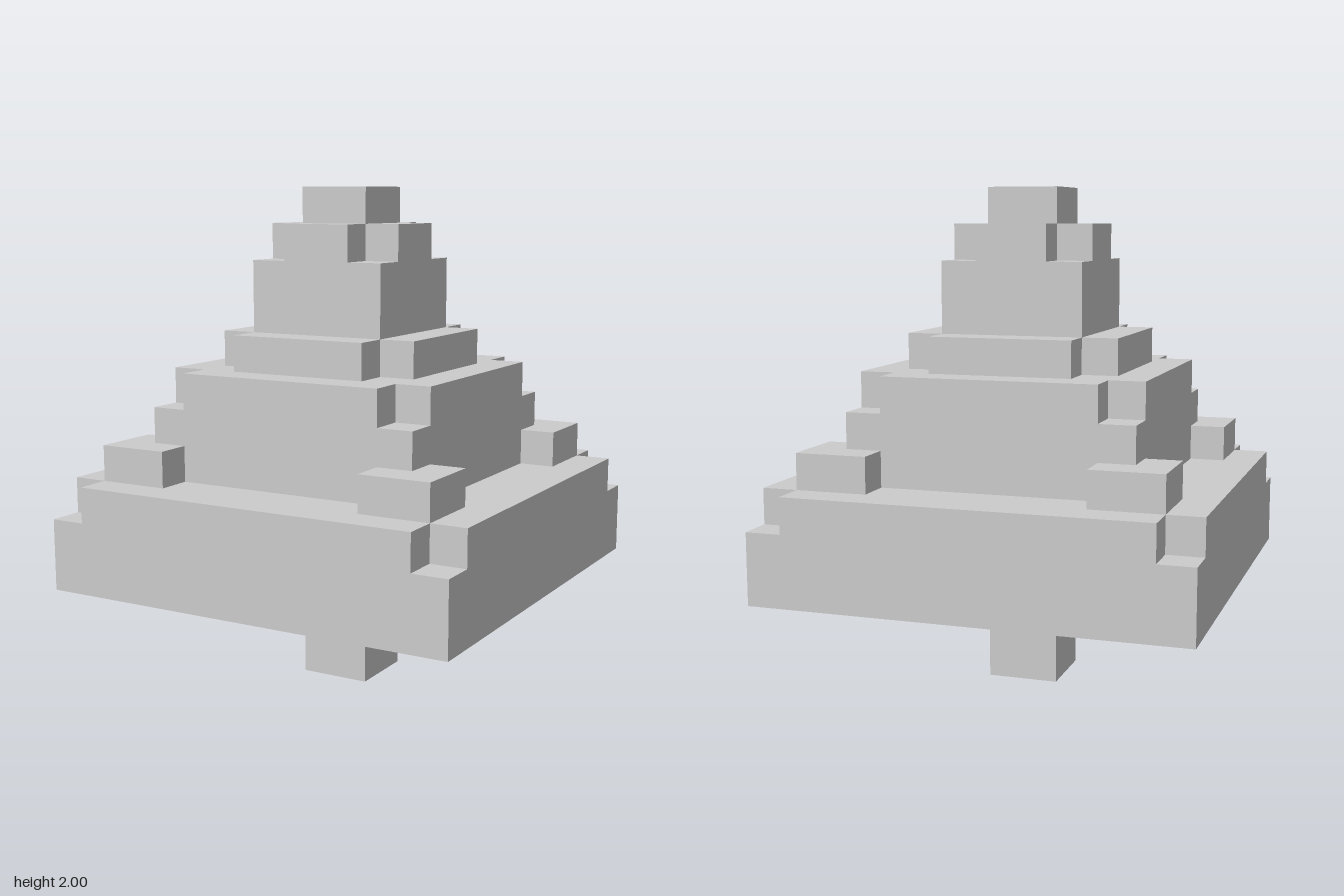
import * as THREE from 'three';

const U = 1 / 7; // one block
const material = new THREE.MeshStandardMaterial({ color: 0xcccccc, flatShading: true });

function mesh(name, geometry) {
  const m = new THREE.Mesh(geometry, material);
  m.name = name;
  return m;
}

// Box centred on (x, z), from y0 to y1, all in blocks
function block(name, width, y0, y1, x = 0, z = 0) {
  const m = mesh(name, new THREE.BoxGeometry(width * U, (y1 - y0) * U, width * U));
  m.position.set(x * U, ((y0 + y1) / 2) * U, z * U);
  return m;
}

// One-block-high square slab with its four corner blocks missing
function notchedSlab(name, half, y0) {
  const a = half * U, b = (half - 1) * U;
  const outline = [
    [a, -b], [a, b], [b, b], [b, a], [-b, a], [-b, b],
    [-a, b], [-a, -b], [-b, -b], [-b, -a], [b, -a], [b, -b],
  ].map(([x, y]) => new THREE.Vector2(x, y));
  const geometry = new THREE.ExtrudeGeometry(new THREE.Shape(outline), { depth: U, bevelEnabled: false });
  geometry.rotateX(-Math.PI / 2);
  const m = mesh(name, geometry);
  m.position.y = y0 * U;
  return m;
}

// Foliage tier: square body with a notched top layer
function tier(name, half, y0, y1) {
  const group = new THREE.Group();
  group.name = name;
  group.add(block(name + 'Body', half * 2, y0, y1 - 1), notchedSlab(name + 'Top', half, y1 - 1));
  return group;
}

export function createModel() {
  const tree = new THREE.Group();
  tree.name = 'blockTree';

  tree.add(block('trunk', 2, 0, 3));
  tree.add(tier('lowerFoliage', 6, 3, 6));
  tree.add(tier('middleFoliage', 4, 6, 9));

  // Raised clumps at the corners of the middle tier
  for (const sx of [-1, 1]) {
    for (const sz of [-1, 1]) tree.add(block('cornerClump', 2, 6, 7, sx * 4, sz * 4));
  }

  // Step around the foot of the upper tier
  tree.add(notchedSlab('upperLedge', 3, 9));
  tree.add(tier('upperFoliage', 2, 9, 13));
  tree.add(block('treeTip', 2, 13, 14));

  return tree;
}
